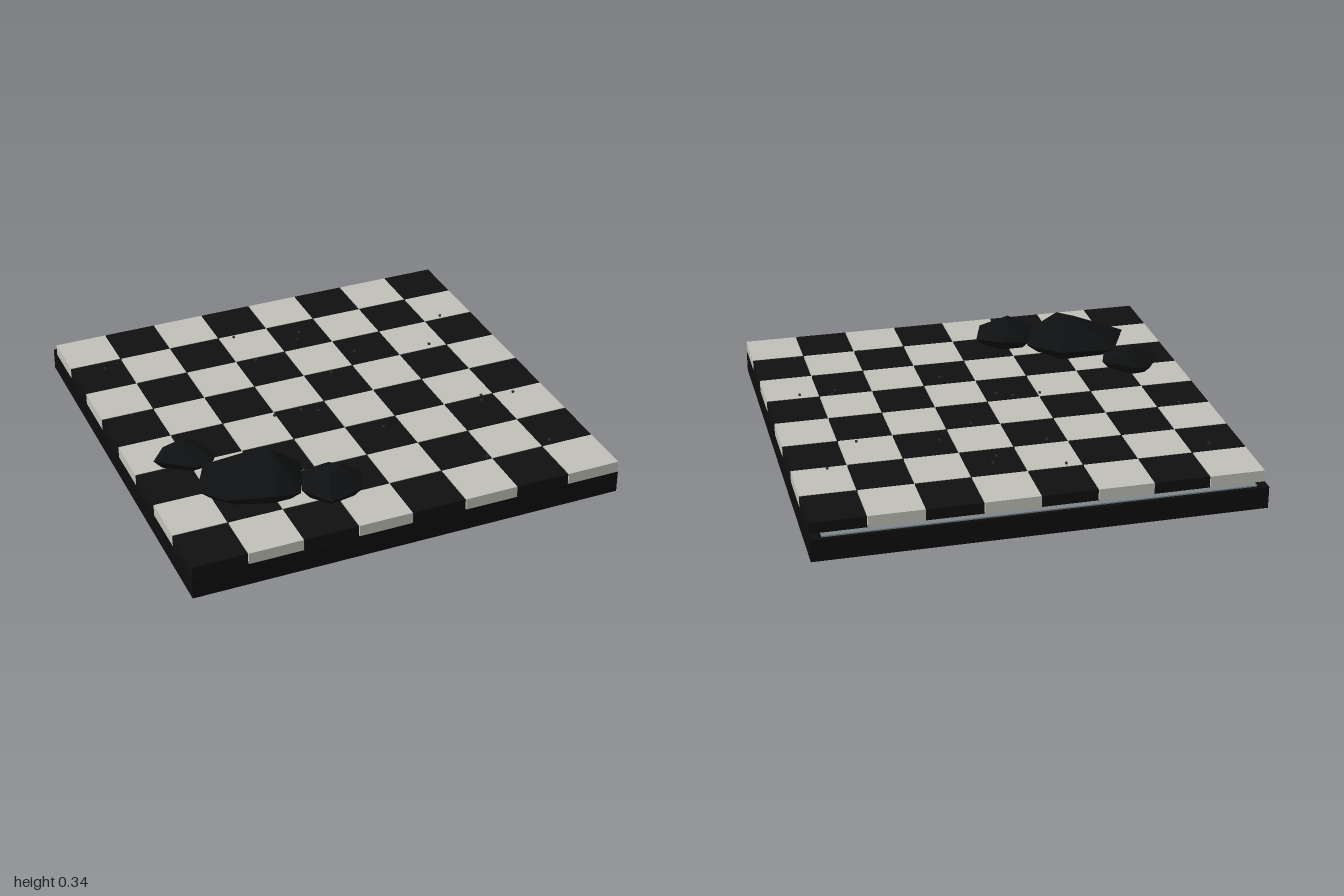
import * as THREE from 'three';
import { ConvexGeometry } from 'three/addons/geometries/ConvexGeometry.js';

const mat = (name, color) => {
  const m = new THREE.MeshStandardMaterial({ color });
  m.name = name;
  return m;
};

export function createModel() {
  const model = new THREE.Group();
  const black = mat('blackBase', 0x0d0d0d);
  const dark = mat('darkTile', 0x101010);
  const light = mat('lightTile', 0xc0c0b7);
  const steel = mat('greyStrip', 0x7c858a);
  const rockMat = mat('rockBlack', 0x0f1011);
  const crumbMat = mat('crumbGrey', 0x2c2c2c);

  const add = (name, geo, m, x = 0, y = 0, z = 0, parent = model) => {
    const mesh = new THREE.Mesh(geo, m);
    mesh.name = name;
    mesh.position.set(x, y, z);
    parent.add(mesh);
    return mesh;
  };

  // Base slab and the strip on its back ledge
  add('base', new THREE.BoxGeometry(2, 0.102, 2), black, 0, 0.051, 0);
  add('backStrip', new THREE.BoxGeometry(1.9, 0.006, 0.03), steel, 0, 0.105, -0.97);

  // Checkered floor tiles, starting behind the ledge
  const tiles = new THREE.Group();
  tiles.name = 'tiles';
  model.add(tiles);
  const back = -0.948, px = 0.25, pz = (1 - back) / 8, gap = 0.004;
  const tileGeo = new THREE.BoxGeometry(px - gap, 0.054, pz - gap);
  for (let r = 0; r < 8; r++) {
    for (let c = 0; c < 8; c++) {
      const isLight = (r + c) % 2 === 0;
      add(isLight ? 'lightTile' : 'darkTile', tileGeo, isLight ? light : dark,
        -1 + px * (c + 0.5), 0.128, back + pz * (r + 0.5), tiles);
    }
  }

  // Faceted rocks: a widest outline, a tucked-in foot and a few crest points
  const rock = (name, outline, crest, waist) => {
    const n = outline.length;
    const cx = outline.reduce((s, p) => s + p[0], 0) / n;
    const cz = outline.reduce((s, p) => s + p[1], 0) / n;
    const pts = crest.map(p => new THREE.Vector3(...p));
    outline.forEach(([x, z], i) => {
      pts.push(new THREE.Vector3(x, waist + (i % 2 ? 0.008 : -0.004), z));
      pts.push(new THREE.Vector3(cx + (x - cx) * 0.72, 0.15, cz + (z - cz) * 0.72));
    });
    add(name, new ConvexGeometry(pts), rockMat);
  };
  rock('smallRock',
    [[-0.83, 0.15], [-0.75, 0.14], [-0.63, 0.27], [-0.66, 0.35], [-0.75, 0.36], [-0.91, 0.26]],
    [[-0.77, 0.27, 0.26], [-0.72, 0.25, 0.22]], 0.19);
  rock('largeRock',
    [[-0.72, 0.37], [-0.45, 0.36], [-0.32, 0.52], [-0.37, 0.66],
      [-0.41, 0.74], [-0.52, 0.74], [-0.72, 0.67], [-0.82, 0.57]],
    [[-0.48, 0.34, 0.57], [-0.56, 0.325, 0.54], [-0.5, 0.312, 0.5], [-0.72, 0.252, 0.55], [-0.38, 0.245, 0.55]], 0.205);
  rock('frontRock',
    [[-0.34, 0.57], [-0.21, 0.57], [-0.1, 0.67], [-0.15, 0.81], [-0.31, 0.84], [-0.4, 0.73]],
    [[-0.21, 0.275, 0.7], [-0.28, 0.27, 0.75], [-0.26, 0.268, 0.68]], 0.197);

  // Scattered crumbs on the tiles
  const crumbs = new THREE.Group();
  crumbs.name = 'crumbs';
  model.add(crumbs);
  const crumbGeo = new THREE.BoxGeometry(0.01, 0.01, 0.01);
  [[-0.85, -0.64], [-0.18, -0.68], [0.13, -0.6], [0.1, -0.54], [0.84, -0.48], [-0.16, -0.43],
    [0.31, -0.33], [0.67, -0.25], [-0.86, -0.2], [0.13, -0.19], [-0.26, 0.06], [-0.13, 0.06],
    [-0.06, 0.1], [0.69, 0.27], [0.67, 0.31], [0.84, 0.3], [0.16, 0.34], [0.48, 0.74], [0.8, 0.73]]
    .forEach(([x, z]) => add('crumb', crumbGeo, crumbMat, x, 0.158, z, crumbs));

  return model;
}
